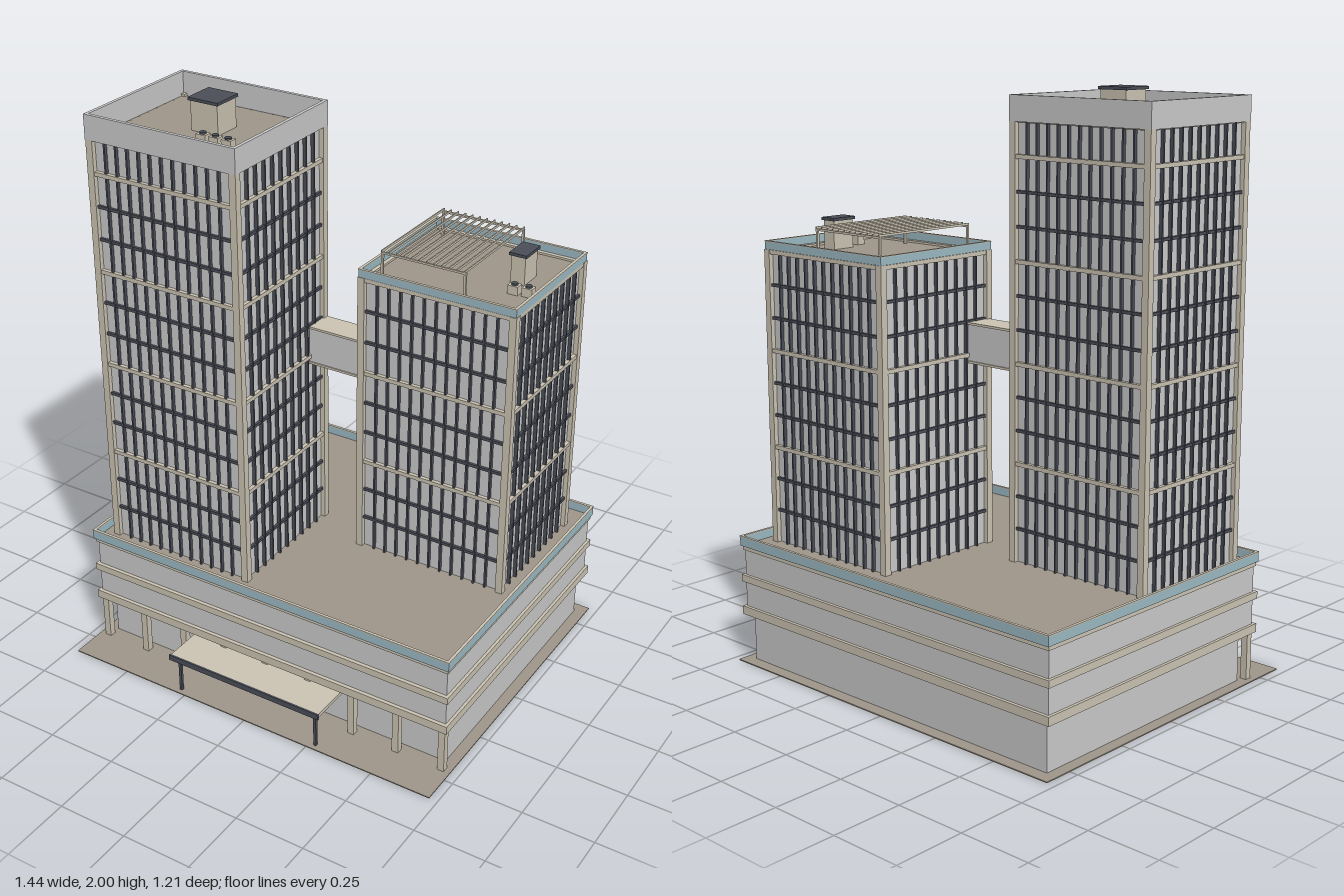
import * as THREE from 'three';

const mat = (color) => new THREE.MeshStandardMaterial({ color });
const grey = mat(0xcccccc), stone = mat(0xcdc5b4), paving = mat(0xa0978a);
const dark = mat(0x4b4e58), glass = mat(0x9dbcc6);

// Box given by its min and max along each axis
function block(parent, name, m, x0, x1, y0, y1, z0, z1) {
  const mesh = new THREE.Mesh(new THREE.BoxGeometry(x1 - x0, y1 - y0, z1 - z0), m);
  mesh.position.set((x0 + x1) / 2, (y0 + y1) / 2, (z0 + z1) / 2);
  mesh.name = name;
  parent.add(mesh);
  return mesh;
}

// Hollow rectangular frame of wall thickness t
function ring(parent, name, m, x0, x1, y0, y1, z0, z1, t) {
  const s = new THREE.Shape([[x0, -z1], [x1, -z1], [x1, -z0], [x0, -z0]].map((p) => new THREE.Vector2(...p)));
  s.holes.push(new THREE.Path([[x0 + t, -z1 + t], [x0 + t, -z0 - t], [x1 - t, -z0 - t], [x1 - t, -z1 + t]]
    .map((p) => new THREE.Vector2(...p))));
  const geo = new THREE.ExtrudeGeometry(s, { depth: y1 - y0, bevelEnabled: false });
  geo.rotateX(-Math.PI / 2);
  const mesh = new THREE.Mesh(geo, m);
  mesh.position.y = y0;
  mesh.name = name;
  parent.add(mesh);
}

// Tower with corner posts, floor bands and vertical mullions
function tower(name, x0, x1, z0, z1, floors) {
  const g = new THREE.Group();
  g.name = name;
  const base = 0.42, first = 0.4275, step = 0.1125, top = first + floors * step;
  const inset = 0.016, post = 0.025;
  block(g, 'glazedCore', grey, x0 + inset, x1 - inset, base, top - 0.006, z0 + inset, z1 - inset);
  block(g, 'roofDeck', paving, x0 + 0.01, x1 - 0.01, top - 0.006, top, z0 + 0.01, z1 - 0.01);
  for (const x of [x0, x1 - post]) for (const z of [z0, z1 - post])
    block(g, 'cornerPost', stone, x, x + post, base, top + 0.008, z, z + post);

  for (let i = 1; i <= floors; i++) {
    const y = first + i * step, major = i % 3 === 0;
    const h = major ? 0.007 : 0.005, d = major ? 0.003 : 0.007;
    if (i < floors || major)
      ring(g, major ? 'floorBand' : 'transom', major ? stone : dark,
        x0 + d, x1 - d, y - h, y + h, z0 + d, z1 - d, 0.02);
  }
  const nx = 12, nz = 10;
  for (let i = 1; i < nx; i++) {
    const x = x0 + post + (x1 - x0 - 2 * post) * i / nx;
    for (const z of [z0 + 0.004, z1 - 0.018])
      block(g, 'mullion', dark, x - 0.003, x + 0.003, base, top, z, z + 0.014);
  }
  for (let i = 1; i < nz; i++) {
    const z = z0 + post + (z1 - z0 - 2 * post) * i / nz;
    for (const x of [x0 + 0.004, x1 - 0.018])
      block(g, 'mullion', dark, x, x + 0.014, base, top, z - 0.003, z + 0.003);
  }
  return g;
}

// Rooftop stair house with an overhanging cap
function stairHouse(parent, x0, x1, z0, z1, y0, y1) {
  const o = 0.006;
  block(parent, 'stairHouse', stone, x0 + o, x1 - o, y0, y1 - 0.01, z0 + o, z1 - o);
  block(parent, 'stairHouseCap', dark, x0, x1, y1 - 0.01, y1, z0, z1);
}

// Rooftop cooling unit with a round fan
function coolingUnit(parent, x, y, z) {
  block(parent, 'coolingUnit', stone, x - 0.018, x + 0.018, y, y + 0.03, z - 0.015, z + 0.015);
  const fan = new THREE.Mesh(new THREE.CylinderGeometry(0.011, 0.011, 0.006, 16), dark);
  fan.position.set(x, y + 0.033, z);
  fan.name = 'coolingFan';
  parent.add(fan);
}

function podium() {
  const g = new THREE.Group();
  g.name = 'podium';
  block(g, 'groundFloor', grey, -0.68, 0.68, 0.004, 0.17, -0.56, 0.42);
  block(g, 'upperFloors', grey, -0.70, 0.70, 0.18, 0.41, -0.577, 0.467);
  block(g, 'lowerBand', stone, -0.71, 0.71, 0.17, 0.2, -0.588, 0.48);
  block(g, 'middleBand', stone, -0.71, 0.71, 0.29, 0.315, -0.588, 0.48);
  block(g, 'upperBand', stone, -0.705, 0.705, 0.405, 0.42, -0.583, 0.473);
  block(g, 'roofDeck', paving, -0.70, 0.70, 0.418, 0.424, -0.578, 0.468);
  ring(g, 'glassParapet', glass, -0.71, 0.71, 0.42, 0.452, -0.59, 0.48, 0.008);
  ring(g, 'parapetRail', stone, -0.711, 0.711, 0.452, 0.456, -0.591, 0.481, 0.01);
  // Arcade columns along the front
  for (let i = 0; i < 9; i++) {
    const x = -0.687 + i * 0.1718;
    block(g, 'arcadeColumn', stone, x - 0.012, x + 0.012, 0.004, 0.17, 0.445, 0.469);
  }
  return g;
}

function canopy() {
  const g = new THREE.Group();
  g.name = 'entranceCanopy';
  block(g, 'canopyRoof', stone, -0.3, 0.3, 0.142, 0.155, 0.42, 0.598);
  block(g, 'canopyFascia', dark, -0.302, 0.302, 0.137, 0.158, 0.598, 0.605);
  for (const x of [-0.275, 0.275])
    block(g, 'canopyPost', dark, x - 0.005, x + 0.005, 0.004, 0.142, 0.573, 0.583);
  return g;
}

function pergola(y0, y1) {
  const g = new THREE.Group();
  g.name = 'pergola';
  const x0 = 0.15, x1 = 0.45, z0 = -0.43, z1 = -0.03;
  for (const z of [z0, z1]) {
    block(g, 'pergolaBeam', stone, x0 - 0.004, x1 + 0.004, y1 - 0.012, y1 - 0.005, z - 0.003, z + 0.003);
    for (const x of [x0, x1])
      block(g, 'pergolaPost', stone, x - 0.004, x + 0.004, y0, y1 - 0.005, z - 0.004, z + 0.004);
  }
  for (let i = 0; i < 12; i++) {
    const x = x0 + (x1 - x0) * i / 11;
    block(g, 'pergolaSlat', stone, x - 0.002, x + 0.002, y1 - 0.006, y1 + 0.002, z0 - 0.006, z1 + 0.006);
  }
  return g;
}

export function createModel() {
  const model = new THREE.Group();
  model.name = 'twinTowerComplex';
  block(model, 'groundPlate', paving, -0.72, 0.72, 0, 0.004, -0.605, 0.6);
  model.add(podium(), canopy());

  // Tall tower with a solid parapet
  const tall = tower('tallTower', -0.665, -0.095, -0.09, 0.42, 13);
  ring(tall, 'solidParapet', grey, -0.666, -0.094, 1.888, 1.972, -0.091, 0.421, 0.012);
  stairHouse(tall, -0.437, -0.322, 0.075, 0.187, 1.89, 2);
  for (const x of [-0.335, -0.287, -0.239]) coolingUnit(tall, x, 1.89, 0.25);

  // Short tower with a glass parapet and roof terrace
  const short = tower('shortTower', 0.09, 0.66, -0.485, 0.025, 9);
  ring(short, 'glassParapet', glass, 0.092, 0.658, 1.448, 1.474, -0.483, 0.023, 0.008);
  ring(short, 'parapetRail', stone, 0.091, 0.659, 1.474, 1.477, -0.484, 0.024, 0.01);
  stairHouse(short, 0.51, 0.572, -0.305, -0.207, 1.44, 1.547);
  coolingUnit(short, 0.563, 1.44, -0.15);
  coolingUnit(short, 0.61, 1.44, -0.155);
  short.add(pergola(1.44, 1.535));
  model.add(tall, short);

  // Enclosed bridge between the towers
  const bridge = new THREE.Group();
  bridge.name = 'skyBridge';
  block(bridge, 'bridgeWalls', grey, -0.105, 0.1, 1.083, 1.206, -0.082, 0.01);
  block(bridge, 'bridgeRoof', stone, -0.105, 0.1, 1.206, 1.214, -0.086, 0.014);
  block(bridge, 'bridgeFloor', stone, -0.105, 0.1, 1.075, 1.083, -0.086, 0.014);
  model.add(bridge);
  return model;
}
